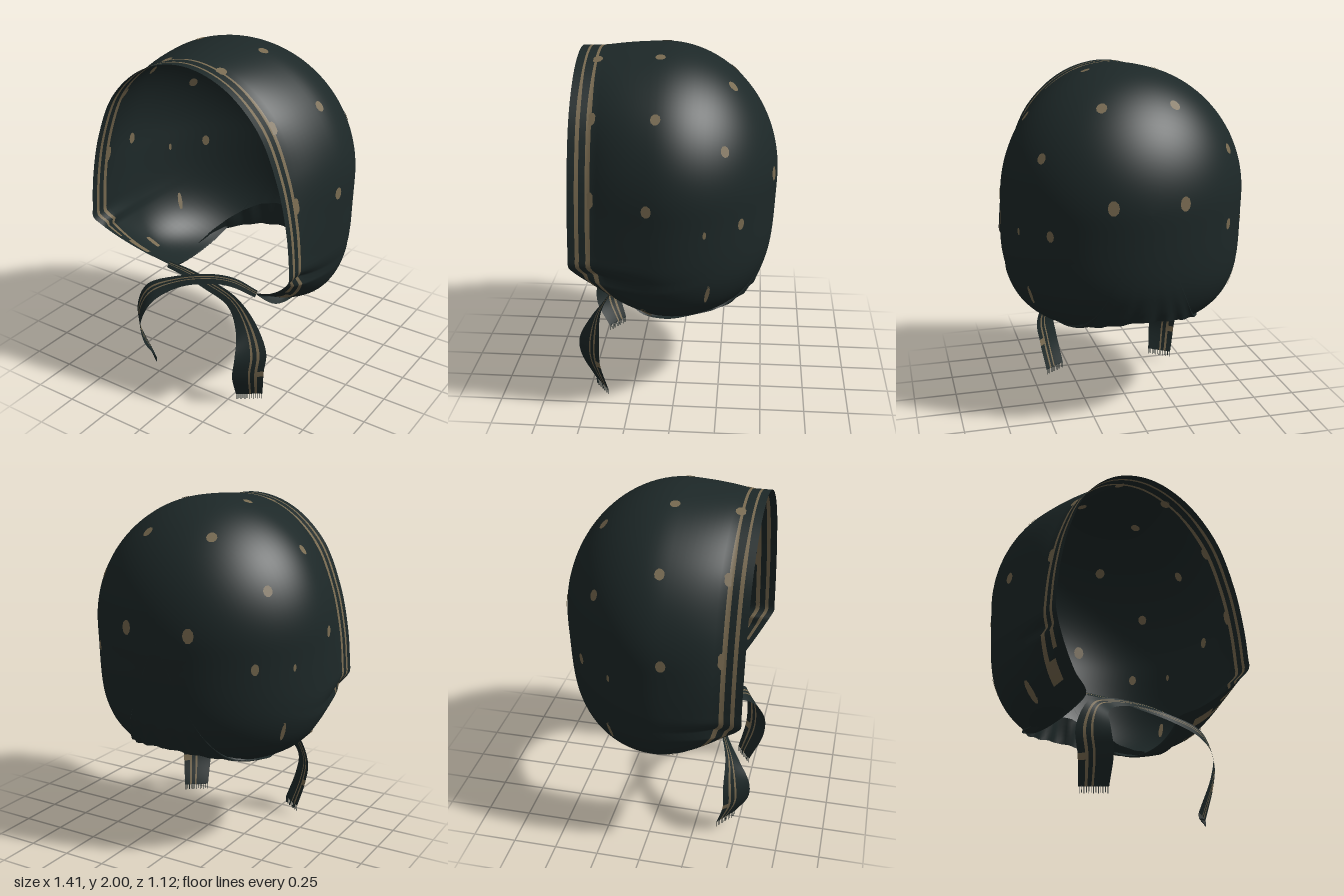
import * as THREE from 'three';

const V = (x, y, z) => new THREE.Vector3(x, y, z);
const mat = (name, color) => Object.assign(new THREE.MeshStandardMaterial({ color, side: THREE.DoubleSide }), { name });

// Cloth grid of (rows+1) x (cols+1) points; cells picked by isTrim get the second material
function clothGrid(name, rows, cols, point, mats, isTrim, closed = false) {
  const pos = [], plain = [], trim = [];
  const w = closed ? cols : cols + 1;
  for (let i = 0; i <= rows; i++) for (let k = 0; k < w; k++) pos.push(...point(i, k).toArray());
  for (let i = 0; i < rows; i++) for (let k = 0; k < cols; k++) {
    const a = i * w + k, b = i * w + (k + 1) % w, c = a + w, d = b + w;
    (isTrim(i, k) ? trim : plain).push(a, c, b, b, c, d);
  }
  const g = new THREE.BufferGeometry();
  g.setAttribute('position', new THREE.Float32BufferAttribute(pos, 3));
  g.setIndex([...plain, ...trim]);
  g.addGroup(0, plain.length, 0);
  g.addGroup(plain.length, trim.length, 1);
  g.computeVertexNormals();
  const mesh = new THREE.Mesh(g, mats);
  mesh.name = name;
  return mesh;
}

// Rounded hood body: phi runs round the z axis, tau from the back pole forwards.
// Level sections are elliptical; the lower half is fuller than an ellipsoid.
const CY = 1.28, CZ = 0.1, RX = 0.715, RZ = 0.66;
const ry = (s) => (s > 0 ? 0.72 : 0.78);
function body(phi, tau) {
  const q = Math.min(tau, Math.PI / 2);
  const x = Math.cos(phi) * Math.sin(q), y = Math.sin(phi) * Math.sin(q), z = -Math.cos(q);
  const n = 2 + (2 + 0.9 * z) * THREE.MathUtils.smoothstep(-y, 0, 0.55);
  const r = (Math.hypot(x, z) ** n + Math.abs(y) ** n) ** (-1 / n);
  return V(RX * x * r, CY + ry(y) * y * r, CZ + RZ * (z * r + Math.max(0, tau - q)));
}

export function createModel() {
  const group = new THREE.Group();
  group.name = 'bonnet';
  const cloth = mat('dark green cloth', 0x1d2828);
  const tan = mat('tan print', 0x786a50);
  const mats = [cloth, tan];

  // Open edge: face rim, chin corner, side lobe, nape
  const half = [
    V(0, 1.97, 0.54), V(0.25, 1.905, 0.54), V(0.46, 1.72, 0.54), V(0.58, 1.46, 0.54), V(0.64, 1.2, 0.54),
    V(0.66, 1, 0.54), V(0.662, 0.94, 0.54), V(0.635, 0.895, 0.515), V(0.55, 0.8, 0.45), V(0.43, 0.7, 0.37),
    V(0.31, 0.625, 0.3), V(0.37, 0.53, 0.2), V(0.4, 0.51, 0.05), V(0.4, 0.54, -0.1), V(0.36, 0.58, -0.27),
    V(0.2, 0.62, -0.41), V(0, 0.645, -0.46)];
  const mirrored = half.slice(1, -1).reverse().map((p) => V(-p.x, p.y, p.z));
  const edgeCurve = new THREE.CatmullRomCurve3([...half, ...mirrored], true);
  const H = 120, N = 2 * H;
  const lines = [];
  let lastPhi = Math.PI / 2;
  for (let k = 0; k <= H; k++) {
    const e = edgeCurve.getPointAt(k / N);
    if (k === 0 || k === H) e.x = 0;
    const x = e.x / RX, y = (e.y - CY) / ry(e.y - CY), z = (e.z - CZ) / RZ;
    const phi = k ? Math.min(lastPhi - 0.0005, Math.atan2(y, x)) : lastPhi;
    const tau = z < 0 ? Math.atan2(Math.hypot(x, y), -z) : Math.PI / 2 + z;
    lines.push({ e, phi, tau, end: body(phi, tau) });
    lastPhi = phi;
  }
  const lineAt = (k) => lines[k <= H ? k : N - k];

  // Shell: rows follow the edge inwards so that two rows form the printed bands, thinner at the crown
  const R = 40;
  const shellPoint = (i, k) => {
    const L = lineAt(k), len = L.tau * 0.67;
    const w = 1 - 0.4 * THREE.MathUtils.smoothstep(L.e.y, 1.75, 1.93);
    const bands = [0, 0.05 - 0.011 * w, 0.05 + 0.011 * w, 0.109 - 0.013 * w, 0.109 + 0.013 * w];
    const inner = 1 - bands[4] / len;
    const t = i > R - 4 ? 1 - bands[R - i] / len : inner * i / (R - 4);
    const p = body(L.phi, L.tau * t);
    // draw in towards the edge; the banded border of the face rim stays straight
    const reach = L.e.z > 0.5 ? Math.min(1, t / inner) : t;
    p.addScaledVector(L.end.clone().sub(L.e), -(reach ** 7));
    // gathers at the nape
    if (L.e.z < 0) {
      const f = 0.009 * Math.min(1, -L.e.z * 4) * t ** 9 * Math.sin((k <= H ? k : N - k) * 1.25);
      p.x *= 1 + f; p.z += f;
    }
    if (k > H) p.x *= -1;
    return p;
  };
  const isBand = (i, k) => {
    const z = lineAt(k).e.z;
    return (i === R - 2 && z > 0.45) || (i === R - 4 && z > 0.37) || (i === R - 3 && z > 0.37 && z < 0.42);
  };
  const shell = clothGrid('hoodShell', R, N, shellPoint, mats, isBand, true);
  group.add(shell);

  // Nape hem turned up inside
  const first = lines.findIndex((L) => L.e.z < -0.12);
  const hem = clothGrid('napeHem', 6, N - 2 * first, (i, c) => {
    const k = first + c, p = shellPoint(R, k), u = i / 6;
    const lift = 0.165 * (1 - (p.x / 0.42) ** 2);
    const ripple = 0.006 * Math.sin(k * 1.25) * Math.sin(Math.PI * u);
    return V(p.x * (1 - 0.03 * u), p.y + lift * u, p.z + 0.03 * u + ripple);
  }, mats, () => false);
  group.add(hem);

  // Printed spots sit on the nearest point of the shell, outside and inside
  const pos = shell.geometry.attributes.position, nor = shell.geometry.attributes.normal;
  const spotGeo = new THREE.CircleGeometry(1, 10);
  function spot(name, target, w, h) {
    let best = 0, bestD = Infinity;
    const p = V(), n = V();
    for (let i = 0; i < pos.count; i++) {
      const d = p.fromBufferAttribute(pos, i).distanceToSquared(target);
      if (d < bestD) { bestD = d; best = i; }
    }
    p.fromBufferAttribute(pos, best);
    n.fromBufferAttribute(nor, best);
    for (const s of [1, -1]) {
      const m = new THREE.Mesh(spotGeo, tan);
      m.name = name;
      m.lookAt(n.clone().multiplyScalar(s));
      m.position.copy(p).addScaledVector(n, s * 0.003);
      m.scale.set(w, h, 1);
      group.add(m);
    }
  }
  const spots = [
    [0.2, 1.98, 0.08, 0.028, 0.028], [0.56, 1.74, 0.075, 0.027, 0.031], [0.71, 1.28, 0.12, 0.027, 0.034],
    [0.215, 1.82, -0.31, 0.03, 0.033], [0.53, 1.55, -0.27, 0.027, 0.031], [0.215, 1.33, -0.53, 0.032, 0.042],
    [0.49, 1.15, -0.36, 0.023, 0.033], [0.64, 1.14, -0.18, 0.01, 0.022],
    [0.175, 1.93, 0.415, 0.03, 0.03], [0.49, 1.7, 0.415, 0.025, 0.036], [0.64, 1.3, 0.415, 0.024, 0.045],
    [0.62, 0.76, -0.21, 0.014, 0.06], [0.57, 0.62, 0.15, 0.019, 0.075]];
  for (const [x, y, z, w, h] of spots) for (const s of [1, -1]) spot('printedSpot', V(s * x, y, z), w, h);

  // Tie ribbons: each starts at one chin corner, crosses over and hangs on the other side
  const fringeGeo = new THREE.BoxGeometry(0.003, 0.035, 0.003);
  function tie(name, s, endY, lift, dz) {
    const centre = [V(-0.31, 0.625, 0.3), V(-0.15, 0.63, 0.31), V(0, 0.615, 0.33), V(0.2, 0.575, 0.38),
      V(0.34, 0.49, 0.455), V(0.395, 0.35, 0.49), V(0.38, 0.22, 0.49), V(0.35, endY, 0.43)];
    const width = [V(0, 0.014, -0.015), V(0, 0.017, -0.022), V(0, 0.022, -0.022), V(0.015, 0.028, -0.018),
      V(0.04, 0.035, -0.035), V(0.063, 0.01, -0.065), V(0.064, 0, -0.065), V(0.062, 0, -0.045)];
    const side = (f) => new THREE.CatmullRomCurve3(centre.map((p, i) => {
      const q = p.clone().addScaledVector(width[i], f);
      const crossing = i > 0 && i < 3 ? 1 : 0;
      return V(s * q.x, q.y + lift * crossing, q.z + dz * crossing);
    }));
    const a = side(-1), b = side(1);
    const cuts = [0, 0.25, 0.5, 0.57, 0.7, 0.79, 1];
    const at = (u, f) => a.getPoint(u).lerp(b.getPoint(u), f);
    group.add(clothGrid(name, 60, 6, (i, c) => at(i / 60, cuts[c]), mats,
      (i, c) => c === 2 || c === 4 || (c === 5 && i > 50 && i < 53)));
    // fringe threads
    for (let i = 0; i < 13; i++) {
      const m = new THREE.Mesh(fringeGeo, cloth);
      m.name = 'fringeThread';
      m.position.copy(at(1, (i + 0.5) / 13));
      m.position.y -= 0.0175 - 0.006 * (i % 2);
      group.add(m);
    }
  }
  tie('leftTie', 1, 0.035, -0.008, 0.01);
  tie('rightTie', -1, 0.07, 0.018, -0.01);
  return group;
}
